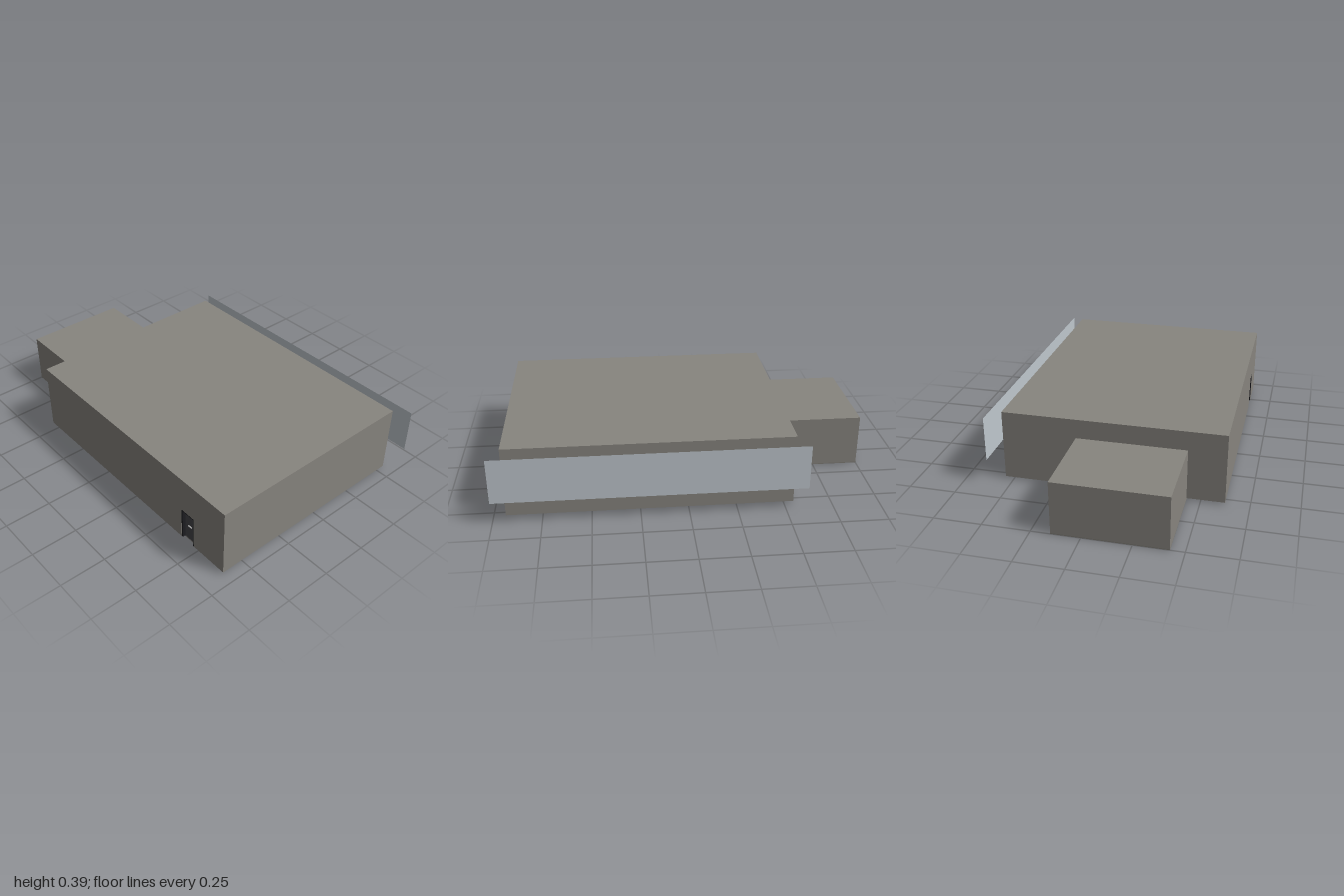
import * as THREE from 'three';

const material = (name, color) => {
  const m = new THREE.MeshStandardMaterial({ color });
  m.name = name;
  return m;
};

export function createModel() {
  const wall = material('warm grey wall', 0x88857f);
  const floor = material('floor grey', 0x7f7c76);
  const glass = material('pale glass', 0xc0c8ce);
  glass.side = THREE.DoubleSide;
  const frame = material('black frame', 0x1c1c20);
  const doorLeaf = material('charcoal door', 0x434347);
  const metal = material('light metal', 0xb0b0b0);

  const model = new THREE.Group();
  model.name = 'building';

  // Box given by its minimum and maximum on each axis
  const box = (name, mat, [x0, x1], [y0, y1], [z0, z1], parent = model) => {
    const mesh = new THREE.Mesh(new THREE.BoxGeometry(x1 - x0, y1 - y0, z1 - z0), mat);
    mesh.position.set((x0 + x1) / 2, (y0 + y1) / 2, (z0 + z1) / 2);
    mesh.name = name;
    parent.add(mesh);
    return mesh;
  };

  // Main hall, with a front wall layer notched for the door
  const front = 0.625, back = -0.545, recess = 0.025;
  box('mainHall', wall, [-0.55, 0.937], [0.01, 0.388], [back, front - recess]);
  const outline = new THREE.Shape([
    [-0.55, 0.01], [0.63, 0.01], [0.63, 0.193], [0.722, 0.193], [0.722, 0.01],
    [0.937, 0.01], [0.937, 0.388], [-0.55, 0.388],
  ].map(([x, y]) => new THREE.Vector2(x, y)));
  const frontWall = new THREE.Mesh(
    new THREE.ExtrudeGeometry(outline, { depth: recess, bevelEnabled: false }), wall);
  frontWall.position.z = front - recess;
  frontWall.name = 'frontWall';
  model.add(frontWall);

  // Side annex and floor slab
  box('annex', wall, [-1, -0.55], [0.005, 0.284], [-0.15, 0.428]);
  box('annexFloor', floor, [-1, -0.53], [0, 0.005], [-0.15, 0.428]);
  box('hallFloor', floor, [-0.53, 0.917], [0, 0.01], [-0.525, 0.605]);

  // Door lining, leaf and handle
  const door = new THREE.Group();
  door.name = 'door';
  model.add(door);
  const lining = [front - recess, front - 0.001];
  box('leftJamb', frame, [0.63, 0.638], [0.01, 0.193], lining, door);
  box('rightJamb', frame, [0.714, 0.722], [0.01, 0.193], lining, door);
  box('lintel', frame, [0.638, 0.714], [0.186, 0.193], lining, door);
  box('doorLeaf', doorLeaf, [0.638, 0.714], [0.01, 0.186], [front - recess, front - 0.018], door);
  box('handle', metal, [0.664, 0.688], [0.098, 0.102], [front - 0.018, front - 0.012], door);

  // Row of framed windows along the back
  for (let i = 0; i < 5; i++) {
    const win = new THREE.Group();
    win.name = 'window' + (i + 1);
    model.add(win);
    const x0 = -0.47 + i * 0.282, x1 = x0 + 0.2, y0 = 0.17, y1 = 0.326;
    const depth = [back - 0.003, back];
    box('pane', glass, [x0, x1], [y0, y1], [back - 0.001, back], win);
    for (const x of [x0, (x0 + x1) / 2 - 0.004, x1 - 0.008])
      box('upright', frame, [x, x + 0.008], [y0, y1], depth, win);
    box('head', frame, [x0, x1], [y1 - 0.008, y1], depth, win);
    box('sill', frame, [x0, x1], [y0, y0 + 0.008], [back - 0.005, back], win);
  }

  // Free-standing glazed screen behind the back wall
  const screen = new THREE.Mesh(new THREE.PlaneGeometry(1.61, 0.242), glass);
  screen.position.set(0.195, 0.25, -0.622);
  screen.name = 'glassScreen';
  model.add(screen);

  return model;
}
